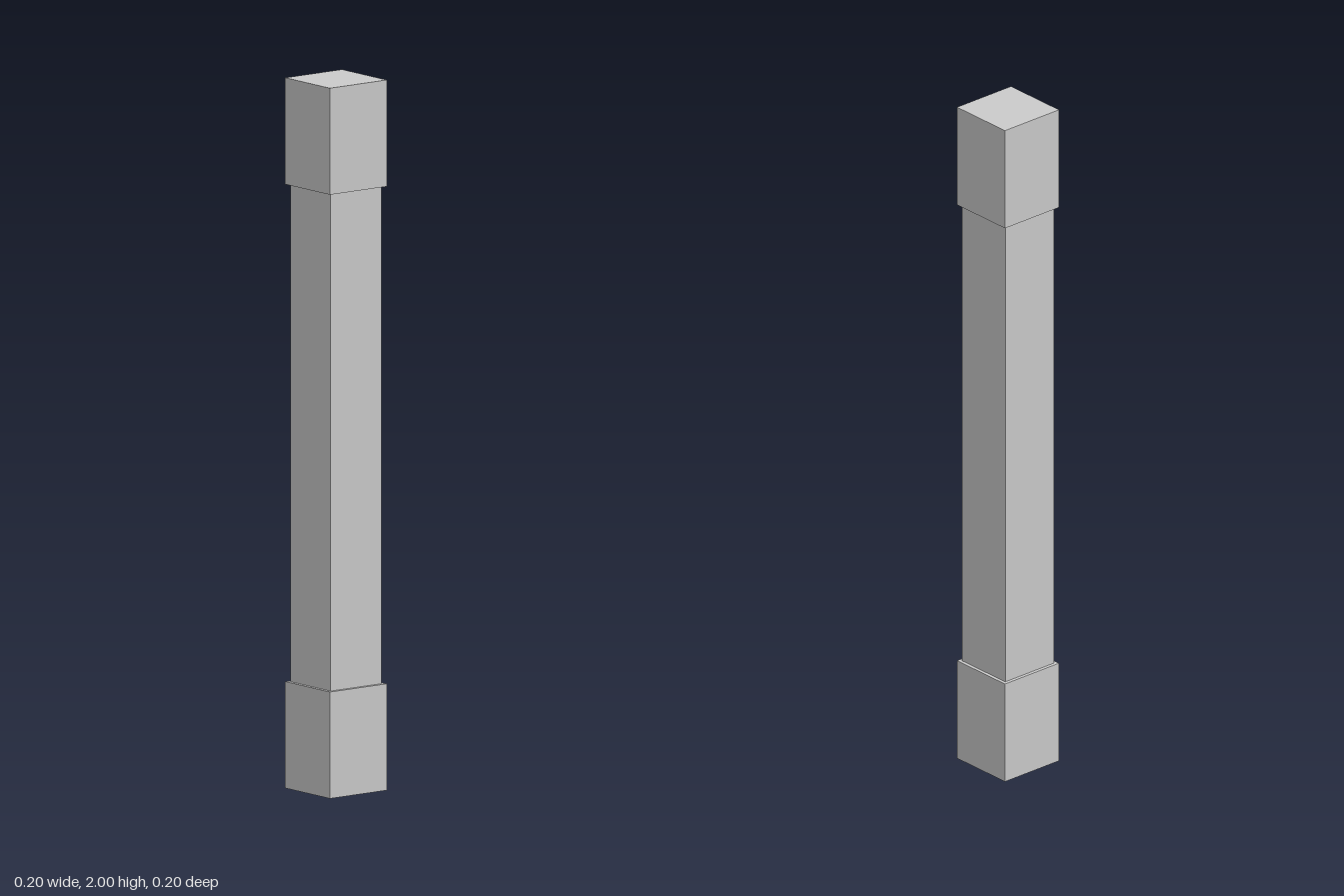
import * as THREE from 'three';

const BLOCK = 0.1;   // half width of the end blocks
const SHAFT = 0.09;  // half width of the shaft
const LOW = 0.3, HIGH = 1.7, TOP = 2;

// Square shell from a profile of [half width, height], listed bottom to top
function squareShell(name, profile, material) {
  const points = profile.map(([w, y]) => new THREE.Vector2(w * Math.SQRT2, y));
  const geometry = new THREE.LatheGeometry(points, 4, Math.PI / 4);
  const mesh = new THREE.Mesh(geometry, material);
  mesh.name = name;
  return mesh;
}

export function createModel() {
  const group = new THREE.Group();
  group.name = 'squarePost';
  const material = new THREE.MeshStandardMaterial({
    color: 0xcccccc, flatShading: true, side: THREE.DoubleSide,
  });

  group.add(
    // Base block, hollow and open underneath, with a narrow ledge around the shaft
    squareShell('base', [[BLOCK, 0], [BLOCK, LOW], [SHAFT, LOW]], material),
    // Shaft between the blocks
    squareShell('shaft', [[SHAFT, LOW], [SHAFT, HIGH]], material),
    // Top block with overhanging underside and closed top
    squareShell('capital', [[SHAFT, HIGH], [BLOCK, HIGH], [BLOCK, TOP], [0, TOP]], material),
  );
  return group;
}
